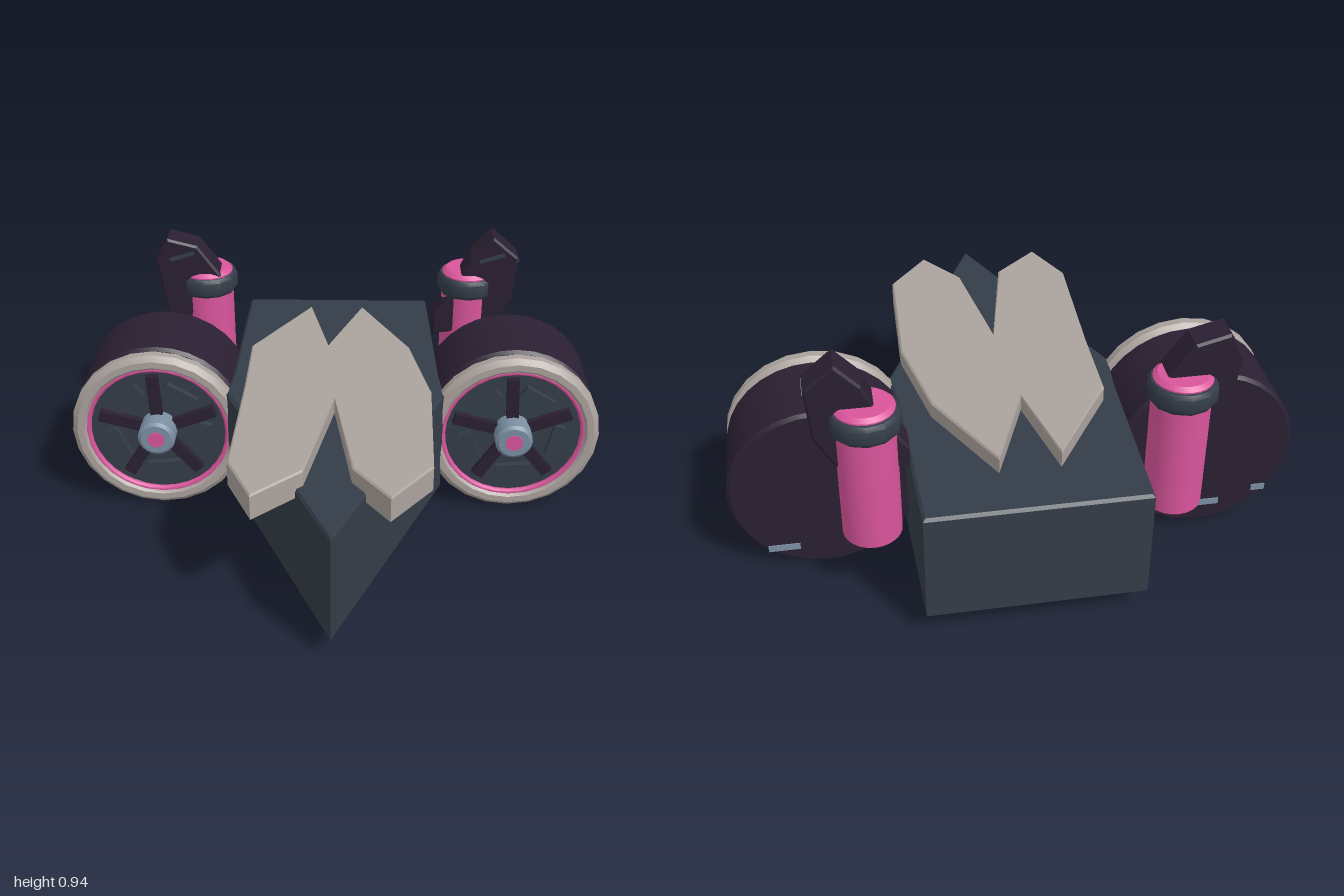
import * as THREE from 'three';
import { toCreasedNormals } from 'three/addons/utils/BufferGeometryUtils.js';

const mat = (name, color) => {
  const m = new THREE.MeshStandardMaterial({ color });
  m.name = name;
  return m;
};

export function createModel() {
  const slate = mat('slate', 0x343d48);
  const cream = mat('warm grey', 0xaba29d);
  const plum = mat('dark plum', 0x2b2032);
  const pink = mat('pink', 0xd9559c);
  const steel = mat('steel blue', 0x7b90a3);

  const model = new THREE.Group();
  const add = (parent, name, geometry, material, x = 0, y = 0, z = 0) => {
    const mesh = new THREE.Mesh(geometry, material);
    mesh.name = name;
    mesh.position.set(x, y, z);
    parent.add(mesh);
    return mesh;
  };

  // Bevelled slab whose bevel stays inside the outline and the depth
  const slab = (points, depth, bevel) => {
    const shape = new THREE.Shape(points.map(([x, y]) => new THREE.Vector2(x, y)));
    return new THREE.ExtrudeGeometry(shape, {
      depth: depth - 2 * bevel, bevelThickness: bevel, bevelSize: bevel,
      bevelOffset: -bevel, bevelSegments: 1,
    }).translate(0, 0, bevel);
  };
  // Slab lying flat, from an outline of [x, z] points
  const flatSlab = (points, depth, bevel) =>
    slab(points.map(([x, z]) => [x, -z]), depth, bevel).rotateX(-Math.PI / 2);
  // Turned part with its axis along z, from [radius, z] points running back to front
  const turned = (points, sides = 32) => toCreasedNormals(
    new THREE.LatheGeometry(points.map(([r, z]) => new THREE.Vector2(r, z)), sides)
      .rotateX(Math.PI / 2), 0.6);

  // Hull with a pointed bow
  add(model, 'hull', flatSlab([
    [0, 0.84], [0.405, -0.05], [0.39, -0.2], [0.37, -0.84],
    [-0.37, -0.84], [-0.39, -0.2], [-0.405, -0.05],
  ], 0.42, 0.01), slate, 0, 0.09, 0);

  // Forked deck plate
  add(model, 'deckPlate', flatSlab([
    [0, 0.09], [0.065, 0.53], [0.19, 0.7], [0.335, 0.52], [0.35, 0.03],
    [0.28, -0.31], [0.1, -0.65], [-0.03, -0.32], [-0.105, -0.65],
    [-0.325, -0.31], [-0.33, 0], [-0.35, 0.5], [-0.26, 0.695], [-0.095, 0.55],
  ], 0.1, 0.006), cream, 0, 0.47, 0);

  const drumGeo = turned([[0, -0.43], [0.31, -0.43], [0.322, -0.418], [0.322, -0.127],
    [0.31, -0.115], [0, -0.115]]);
  const rimGeo = turned([[0.27, -0.105], [0.305, -0.105], [0.325, -0.088], [0.325, -0.058],
    [0.305, -0.04], [0.28, -0.04], [0.27, -0.05], [0.27, -0.105]], 24);
  const discGeo = turned([[0, -0.118], [0.29, -0.118], [0.29, -0.085], [0, -0.085]]);
  const hubGeo = turned([[0, -0.085], [0.07, -0.085], [0.07, -0.002], [0.058, 0.008], [0, 0.008]], 20);
  const capGeo = turned([[0, 0], [0.032, 0], [0.032, 0.012], [0, 0.012]], 16);

  // Drum wheels with spoked front faces
  for (const side of [-1, 1]) {
    const wheel = new THREE.Group();
    wheel.name = side > 0 ? 'leftWheel' : 'rightWheel';
    wheel.position.set(side * 0.67, 0.335, 0);
    model.add(wheel);
    add(wheel, 'drum', drumGeo, plum);
    add(wheel, 'rim', rimGeo, cream);
    add(wheel, 'wheelDisc', discGeo, slate);
    add(wheel, 'innerRing', new THREE.TorusGeometry(0.266, 0.012, 8, 32), pink, 0, 0, -0.06);
    add(wheel, 'hub', hubGeo, steel);
    add(wheel, 'hubCap', capGeo, pink);
    for (let i = 0; i < 5; i++) {
      const a = THREE.MathUtils.degToRad(165 + 72 * i);
      const b = a + THREE.MathUtils.degToRad(38);
      add(wheel, 'spoke', new THREE.BoxGeometry(0.17, 0.045, 0.03), plum,
        0.145 * Math.cos(a), 0.145 * Math.sin(a), -0.075).rotation.z = a;
      add(wheel, 'crossBar', new THREE.BoxGeometry(0.045, 0.13, 0.025), slate,
        0.17 * Math.cos(b), 0.17 * Math.sin(b), -0.075).rotation.z = b;
    }
    // Small marks on the back face
    const marks = side > 0 ? [[0.15, -0.235, 0.11], [-0.18, -0.2, 0.05]] : [[-0.02, -0.235, 0.11], [-0.22, -0.19, 0.05]];
    for (const [x, y, w] of marks) {
      add(wheel, 'backMark', new THREE.BoxGeometry(w, 0.025, 0.006), steel, x, y, -0.431);
    }
  }

  // Upright posts with collars
  const postGeo = toCreasedNormals(new THREE.LatheGeometry([[0, 0], [0.09, 0], [0.1, 0.01],
    [0.1, 0.512], [0.085, 0.525], [0, 0.525]].map(([r, y]) => new THREE.Vector2(r, y)), 24), 0.6);
  const collarGeo = toCreasedNormals(new THREE.LatheGeometry([[0.09, 0], [0.108, 0], [0.118, 0.015],
    [0.118, 0.062], [0.108, 0.077], [0.09, 0.077]].map(([r, y]) => new THREE.Vector2(r, y)), 12), 0.6);
  for (const side of [-1, 1]) {
    add(model, 'post', postGeo, pink, side * 0.515, 0.26, -0.572);
    add(model, 'collar', collarGeo, slate, side * 0.515, 0.69, -0.575);
  }

  // Angular fins set into the posts
  add(model, 'rightFin', slab([
    [-0.705, 0.84], [-0.665, 0.58], [-0.6, 0.55], [-0.52, 0.7], [-0.44, 0.72],
    [-0.455, 0.78], [-0.54, 0.9], [-0.655, 0.93],
  ], 0.11, 0.008), plum, 0, 0, -0.6);
  add(model, 'leftFin', slab([
    [0.38, 0.53], [0.62, 0.56], [0.685, 0.68], [0.7, 0.86], [0.6, 0.945],
    [0.52, 0.86], [0.45, 0.71], [0.38, 0.61],
  ], 0.11, 0.008), plum, 0, 0, -0.6);

  // Thin marks on the fins
  add(model, 'finEdgeMark', new THREE.BoxGeometry(0.006, 0.012, 0.08), steel, 0.699, 0.845, -0.545);
  for (const side of [-1, 1]) {
    add(model, 'finMark', new THREE.BoxGeometry(0.1, 0.015, 0.004), slate,
      side * 0.6, 0.86, -0.489).rotation.z = 0.3;
  }
  return model;
}
